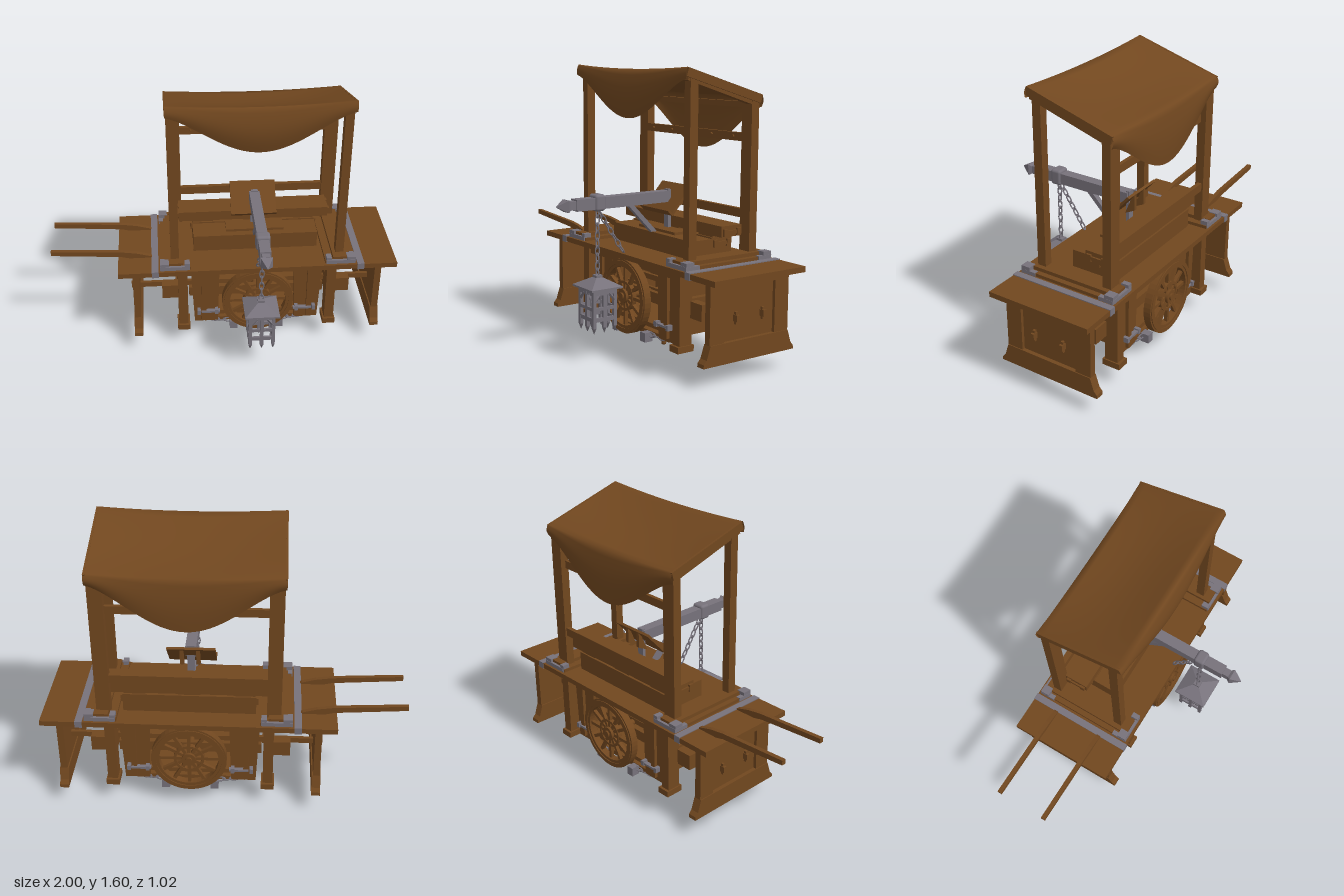
import * as THREE from 'three';
import { RoundedBoxGeometry } from 'three/addons/geometries/RoundedBoxGeometry.js';

export function createModel() {
  const wood = new THREE.MeshStandardMaterial({ color: 0x71471f });
  wood.name = 'wood';
  const cloth = new THREE.MeshStandardMaterial({ color: 0x71471f, side: THREE.DoubleSide });
  cloth.name = 'cloth';
  const iron = new THREE.MeshStandardMaterial({ color: 0x77727b });
  iron.name = 'iron';

  const root = new THREE.Group();
  root.name = 'marketCart';
  const cart = new THREE.Group(); // local frame centred on the table
  cart.name = 'cart';
  cart.position.set(0.193, 0, -0.2);
  root.add(cart);

  const add = (name, geo, mat, x = 0, y = 0, z = 0, parent = cart) => {
    const m = new THREE.Mesh(geo, mat);
    m.name = name;
    m.position.set(x, y, z);
    parent.add(m);
    return m;
  };
  // box given by its bounds
  const box = (name, mat, x0, x1, y0, y1, z0, z1, parent = cart) =>
    add(name, new THREE.BoxGeometry(Math.abs(x1 - x0), y1 - y0, Math.abs(z1 - z0)), mat,
      (x0 + x1) / 2, (y0 + y1) / 2, (z0 + z1) / 2, parent);
  // square bar between two points
  const beam = (name, mat, a, b, w, h, parent = cart) => {
    const A = new THREE.Vector3(...a), B = new THREE.Vector3(...b);
    const m = add(name, new THREE.BoxGeometry(w, h, A.distanceTo(B)), mat, 0, 0, 0, parent);
    m.position.copy(A).add(B).multiplyScalar(0.5);
    m.quaternion.setFromUnitVectors(new THREE.Vector3(0, 0, 1), B.sub(A).normalize());
  };
  // chain of alternating links
  const link = new THREE.TorusGeometry(0.014, 0.0042, 6, 12).scale(0.9, 1.8, 1);
  const chain = (name, a, b) => {
    const g = new THREE.Group();
    g.name = name;
    const A = new THREE.Vector3(...a), B = new THREE.Vector3(...b);
    const n = Math.round(A.distanceTo(B) / 0.04);
    const up = new THREE.Vector3(0, 1, 0);
    const q = new THREE.Quaternion().setFromUnitVectors(up, B.clone().sub(A).normalize());
    for (let i = 0; i < n; i++) {
      const m = add('chainLink', link, iron, 0, 0, 0, g);
      m.position.lerpVectors(A, B, (i + 0.5) / n);
      m.quaternion.copy(q).multiply(new THREE.Quaternion().setFromAxisAngle(up, i % 2 ? Math.PI / 2 : 0));
    }
    cart.add(g);
  };
  const shapeOf = pts => new THREE.Shape(pts.map(p => new THREE.Vector2(...p)));
  const extrude = (s, depth) =>
    new THREE.ExtrudeGeometry(s, { depth, bevelEnabled: false, curveSegments: 24 }).translate(0, 0, -depth / 2);
  const sides = [-1, 1];

  // table top
  box('tableTop', wood, -0.808, 0.808, 0.55, 0.58, -0.304, 0.304);
  box('tableApron', wood, -0.47, 0.47, 0.515, 0.55, -0.2, 0.2);

  const foot = shapeOf([[-0.305, 0.12], [0.305, 0.12], [0.303, 0.14], [0.285, 0.16], [0.272, 0.2], [0.262, 0.23],
    [-0.262, 0.23], [-0.272, 0.2], [-0.285, 0.16], [-0.303, 0.14]]);
  for (const s of sides) {
    // iron band round the table and sill under the posts
    box('tableBand', iron, s * 0.575, s * 0.615, 0.546, 0.585, -0.307, 0.307);
    box('sill', wood, s * 0.39, s * 0.56, 0.58, 0.598, -0.285, 0.285);
    box('postSill', wood, s * 0.435, s * 0.53, 0.58, 0.618, -0.275, 0.275);
    for (const t of sides) {
      box('sillCorner', iron, s * 0.515, s * 0.565, 0.58, 0.622, t * 0.235, t * 0.288);
      box('sillCornerArm', iron, s * 0.4, s * 0.565, 0.58, 0.603, t * 0.272, t * 0.29);
      box('sillCornerBlock', iron, s * 0.395, s * 0.425, 0.58, 0.622, t * 0.245, t * 0.288);
      box('sillCornerStrap', iron, s * 0.54, s * 0.566, 0.58, 0.602, t * 0.2, t * 0.288);
    }

    // end board with flared foot and raised frame
    box('endBoard', wood, s * 0.69, s * 0.71, 0.2, 0.55, -0.262, 0.262);
    add('endFoot', extrude(foot, 0.05).rotateY(Math.PI / 2), wood, s * 0.708);
    for (const t of sides) box('endStile', wood, s * 0.69, s * 0.728, 0.23, 0.55, t * 0.17, t * 0.264);
    box('endRail', wood, s * 0.69, s * 0.728, 0.51, 0.55, -0.17, 0.17);
    for (const t of sides) {
      box('stretcherTenon', wood, s * 0.7, s * 0.742, 0.33, 0.365, t * 0.08, t * 0.1);
      box('tenonWedge', wood, s * 0.715, s * 0.73, 0.315, 0.38, t * 0.083, t * 0.097);
    }

    // inner legs with cross rail
    for (const t of sides) {
      box('innerLeg', wood, s * 0.41, s * 0.466, 0.12, 0.55, t * 0.17, t * 0.25);
      box('innerLegFoot', wood, s * 0.4, s * 0.474, 0.12, 0.155, t * 0.16, t * 0.265);
      box('legBlock', wood, s * 0.46, s * 0.56, 0.3, 0.39, t * 0.13, t * 0.18);
      const board = add('slantedBoard', extrude(shapeOf([[0.22, 0.55], [0.39, 0.55], [0.37, 0.14], [0.23, 0.14]]), 0.022), wood, 0, 0, t * 0.2);
      if (s < 0) board.rotation.y = Math.PI;
      box('boardRib', wood, s * 0.3, s * 0.33, 0.16, 0.55, t * 0.205, t * 0.23);
      box('boardBolt', iron, s * 0.22, s * 0.33, 0.219, 0.231, t * 0.215, t * 0.24);
      for (const x of [0.23, 0.335]) box('boardBoltHead', iron, s * x, s * (x + 0.02), 0.21, 0.24, t * 0.21, t * 0.243);
    }
    box('innerLegRail', wood, s * 0.42, s * 0.456, 0.28, 0.4, -0.2, 0.2);
    box('bodyEnd', wood, s * 0.34, s * 0.365, 0.17, 0.55, -0.19, 0.19);

    // canopy posts and sloping rail
    box('frontPost', wood, s * 0.455, s * 0.503, 0.6, 1.565, 0.175, 0.225);
    box('backPost', wood, s * 0.425, s * 0.503, 0.6, 1.43, -0.235, -0.185);
    beam('slopedRail', wood, [s * 0.479, 1.56, 0.235], [s * 0.479, 1.415, -0.235], 0.046, 0.05);
  }

  // long stretchers and body floor
  for (const t of sides) {
    box('stretcher', wood, -0.72, 0.72, 0.33, 0.362, t * 0.08, t * 0.1);
    box('sideRail', wood, -0.4, 0.4, 0.31, 0.37, t * 0.15, t * 0.18);
    box('upperRail', wood, -0.41, 0.41, 0.5, 0.55, t * 0.19, t * 0.235);
    box('floorPlank', wood, -0.31, 0.31, 0.13, 0.155, t * 0.09, t * 0.2);
  }
  box('bodyFloor', wood, -0.36, 0.36, 0.17, 0.195, -0.19, 0.19);
  box('floorCentre', wood, -0.2, 0.2, 0.135, 0.17, -0.06, 0.06);

  // iron fittings and chains below
  for (const s of sides) for (const t of sides) {
    box('floorFitting', iron, s * 0.115, s * 0.16, 0.1, 0.152, t * 0.2, t * 0.25);
    chain('floorChain', [s * 0.15, 0.14, t * 0.215], [s * 0.31, 0.14, t * 0.19]);
  }
  const bob = [[0, 0], [0.012, 0.003], [0.015, 0.012], [0.01, 0.024], [0.013, 0.03], [0.008, 0.07], [0.012, 0.1], [0.009, 0.14], [0, 0.14]];
  add('hangingPeg', new THREE.LatheGeometry(bob.map(p => new THREE.Vector2(...p)), 12), wood, 0, 0.005, 0);

  // wheels
  const ring = (ro, ri, d) => {
    const s = new THREE.Shape().absarc(0, 0, ro, 0, Math.PI * 2);
    s.holes.push(new THREE.Path().absarc(0, 0, ri, 0, Math.PI * 2, true));
    return extrude(s, d);
  };
  for (const t of sides) {
    const w = new THREE.Group();
    w.name = 'wheel';
    w.position.set(0, 0.335, t * 0.268);
    cart.add(w);
    add('rim', ring(0.21, 0.165, 0.042), wood, 0, 0, 0, w);
    add('rimEdge', ring(0.2, 0.182, 0.052), wood, 0, 0, 0, w);
    add('innerRing', ring(0.085, 0.07, 0.026), wood, 0, 0, 0, w);
    add('hub', new THREE.CylinderGeometry(0.04, 0.04, 0.05, 16).rotateX(Math.PI / 2), wood, 0, 0, 0, w);
    add('hubCap', new THREE.CylinderGeometry(0.02, 0.02, 0.07, 12).rotateX(Math.PI / 2), wood, 0, 0, 0, w);
    for (let i = 0; i < 12; i++)
      add('spoke', new THREE.BoxGeometry(0.018, 0.145, 0.02).translate(0, 0.1, 0), wood, 0, 0, 0, w).rotation.z = i * Math.PI / 6;
  }
  add('axle', new THREE.CylinderGeometry(0.018, 0.018, 0.5, 12).rotateX(Math.PI / 2), wood, 0, 0.335, 0);

  // curved pull shafts
  const shaft = shapeOf([[-1.193, 0.62], [-0.79, 0.592], [-0.68, 0.565], [-0.6, 0.52], [-0.54, 0.485], [-0.43, 0.48],
    [-0.43, 0.53], [-0.53, 0.54], [-0.62, 0.59], [-0.7, 0.612], [-0.79, 0.625], [-1.193, 0.647]]);
  for (const t of sides) add('pullShaft', extrude(shaft, 0.024), wood, 0, 0, t * 0.145 - 0.008);

  // back rails with pegs
  box('backRailUpper', wood, -0.503, 0.503, 1.205, 1.25, -0.205, -0.185);
  box('backRailLower', wood, -0.47, 0.47, 0.79, 0.838, -0.225, -0.2);
  for (const x of [-0.36, -0.18, 0, 0.18, 0.36])
    add('railPeg', new THREE.CylinderGeometry(0.008, 0.008, 0.03, 8).rotateX(Math.PI / 2), wood, x, 1.228, -0.19);
  box('canopyBackRail', wood, -0.47, 0.47, 1.385, 1.415, -0.225, -0.195);

  // counter, and bench of two stacked beams with end straps
  box('counter', wood, -0.365, 0.365, 0.58, 0.68, -0.04, 0.1);
  box('counterStep', wood, -0.17, 0.17, 0.68, 0.695, -0.04, 0.06);
  for (const [half, y0, y1] of [[0.365, 0.58, 0.688], [0.445, 0.7, 0.76]]) {
    box('benchBeam', wood, -half, half, y0, y1, -0.18, -0.04);
    for (const s of sides) {
      const y = y1 - 0.035;
      box('benchStrap', wood, s * half, s * (half + 0.01), y - 0.01, y + 0.01, -0.165, -0.055);
      for (const z of [-0.155, -0.065]) box('strapEnd', wood, s * half, s * (half + 0.012), y - 0.02, y + 0.02, z - 0.014, z + 0.014);
    }
  }
  for (const x of [-0.3, 0, 0.3]) box('benchSpacer', wood, x - 0.06, x + 0.06, 0.688, 0.7, -0.17, -0.05);

  // lectern
  beam('lecternBoard', wood, [-0.007, 0.935, -0.09], [-0.007, 0.785, 0.045], 0.265, 0.014);
  beam('lecternLedge', wood, [-0.007, 0.785, 0.04], [-0.007, 0.815, 0.072], 0.265, 0.012);
  for (const s of sides)
    add('lecternBracket', extrude(shapeOf([[0.025, 0.8], [0.085, 0.83], [0.085, 0.925], [0.07, 0.91]]), 0.02).rotateY(Math.PI / 2), wood, s * 0.045);

  // crane arm
  box('armPost', iron, -0.02, 0.02, 0.66, 0.912, -0.028, -0.008);
  box('arm', iron, -0.03, 0.03, 0.842, 0.905, -0.02, 0.6);
  add('armCollar', new RoundedBoxGeometry(0.08, 0.09, 0.064, 3, 0.015), iron, 0, 0.877, 0.455);
  box('armNeck', iron, -0.022, 0.022, 0.85, 0.897, 0.6, 0.645);
  const spike = (r0, r1, h) => {
    const g = new THREE.CylinderGeometry(r0, r1, h, 4).rotateY(Math.PI / 4).rotateX(Math.PI / 2).toNonIndexed();
    g.computeVertexNormals();
    return g;
  };
  add('armTipBase', spike(0.047, 0.03, 0.02), iron, 0, 0.873, 0.642);
  add('armTip', spike(0.003, 0.047, 0.06), iron, 0, 0.873, 0.68);
  beam('armStrut', iron, [0, 0.85, 0.25], [0, 0.66, 0.065], 0.03, 0.026);

  // lantern on its chains
  chain('lanternChain', [0, 0.84, 0.455], [0, 0.465, 0.455]);
  chain('tieChain', [0, 0.835, 0.45], [0, 0.585, 0.285]);
  const lantern = new THREE.Group();
  lantern.name = 'lantern';
  lantern.position.z = 0.455;
  cart.add(lantern);
  const roof = new THREE.CylinderGeometry(0.03, 0.14, 0.045, 4).rotateY(Math.PI / 4).toNonIndexed();
  roof.computeVertexNormals();
  add('lanternRoof', roof, iron, 0, 0.442, 0, lantern);
  box('lanternEave', iron, -0.099, 0.099, 0.41, 0.42, -0.099, 0.099, lantern);
  box('lanternCap', iron, -0.02, 0.02, 0.46, 0.478, -0.02, 0.02, lantern);
  for (let k = 0; k < 4; k++) {
    const g = new THREE.Group();
    g.name = 'lanternSide';
    g.rotation.y = k * Math.PI / 2;
    lantern.add(g);
    for (const [y, h] of [[0.395, 0.03], [0.305, 0.018], [0.245, 0.022]]) box('cageBand', iron, -0.074, 0.074, y - h / 2, y + h / 2, 0.062, 0.074, g);
    for (const x of [-0.066, 0]) {
      box('cageBar', iron, x - 0.01, x + 0.01, 0.2, 0.41, 0.057, 0.076, g);
      add('barPoint', new THREE.ConeGeometry(0.014, 0.035, 4).rotateX(Math.PI).rotateY(Math.PI / 4), iron, x, 0.185, 0.066, g);
    }
    for (const s of sides) beam('cageBrace', iron, [s * 0.066, 0.345, 0.066], [s * 0.03, 0.39, 0.066], 0.012, 0.02, g);
  }

  // sagging canopy cloth: front flap, sloping top, back flap
  const NX = 32, NV = 30, F = 8;
  const sheet = new THREE.PlaneGeometry(1, 1, NX, NV);
  const p = sheet.attributes.position;
  for (let j = 0, i = 0; j <= NV; j++) for (let c = 0; c <= NX; c++, i++) {
    const u = c / NX * 2 - 1, bow = 1 - u * u;
    const sag = Math.max(0, Math.cos(Math.PI * u / 2)) ** 1.5, dip = 0.017 * bow;
    let y, z;
    if (j < F) { // front flap
      const t = 1 - j / F;
      y = 1.602 - dip - t * (0.06 + 0.205 * sag);
      z = 0.25 + 0.018 * Math.sin(Math.PI * t) * (0.4 + sag) + 0.01 * t;
    } else if (j > NV - F) { // back flap
      const t = (j - NV + F) / F;
      y = 1.455 - dip - t * (0.065 + 0.235 * sag);
      z = -0.245 - 0.012 * Math.sin(Math.PI * t) - 0.012 * t * sag;
    } else {
      const t = (j - F) / (NV - 2 * F);
      y = 1.602 - 0.147 * t - dip - 0.03 * Math.sin(Math.PI * t) * bow;
      z = 0.25 - 0.495 * t;
    }
    p.setXYZ(i, u * 0.511, y, z);
  }
  // wind faces outward
  const idx = sheet.index.array;
  for (let i = 0; i < idx.length; i += 3) [idx[i + 1], idx[i + 2]] = [idx[i + 2], idx[i + 1]];
  sheet.computeVertexNormals();
  add('canopy', sheet, cloth);
  for (const s of sides) beam('canopyHem', cloth, [s * 0.506, 1.578, 0.25], [s * 0.506, 1.431, -0.245], 0.012, 0.045);

  return root;
}
